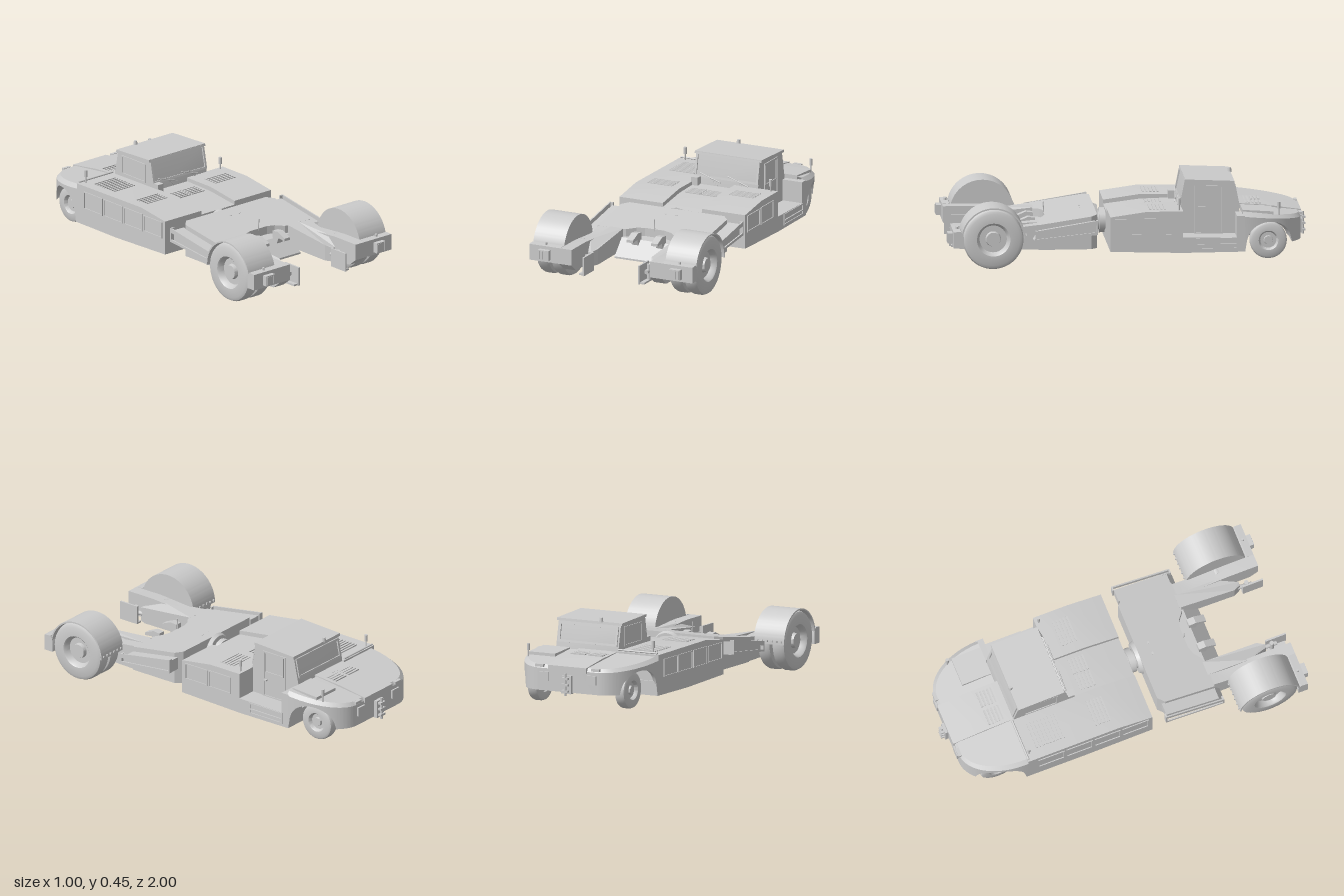
import * as THREE from 'three';
import { toCreasedNormals } from 'three/addons/utils/BufferGeometryUtils.js';

const mat = new THREE.MeshStandardMaterial({ color: 0xcccccc });
const thin = new THREE.MeshStandardMaterial({ color: 0xcccccc, side: THREE.DoubleSide });

export function createModel() {
  const model = new THREE.Group();
  const V = (x, y, z) => new THREE.Vector3(x, y, z);
  const add = (name, geo, m = mat) => {
    const mesh = new THREE.Mesh(geo, m);
    mesh.name = name;
    model.add(mesh);
    return mesh;
  };
  const toShape = (pts) => new THREE.Shape(pts.map((p) => new THREE.Vector2(...p)));
  // box from its low and high corners
  const box = (name, x0, x1, y0, y1, z0, z1) => add(name, new THREE.BoxGeometry(Math.abs(x1 - x0), y1 - y0, z1 - z0)
    .translate((x0 + x1) / 2, (y0 + y1) / 2, (z0 + z1) / 2));
  // side profile [z, y] swept across x
  const prism = (name, shape, x0, x1) => add(name, toCreasedNormals(
    new THREE.ExtrudeGeometry(Array.isArray(shape) ? toShape(shape) : shape,
      { depth: Math.abs(x1 - x0), bevelEnabled: false, curveSegments: 32 })
      .rotateY(-Math.PI / 2).translate(Math.max(x0, x1), 0, 0), 0.5));
  // plan outline [x, z] swept upwards
  const planGeo = (pts, y0, y1) => new THREE.ExtrudeGeometry(toShape(pts), { depth: y1 - y0, bevelEnabled: false })
    .rotateX(Math.PI / 2).translate(0, y1, 0);
  const rod = (name, a, b, r, r2 = r) => {
    const mesh = add(name, new THREE.CylinderGeometry(r2, r, a.distanceTo(b), 20));
    mesh.position.copy(a).lerp(b, 0.5);
    mesh.quaternion.setFromUnitVectors(V(0, 1, 0), b.clone().sub(a).normalize());
    return mesh;
  };
  // rectangular frame facing +z
  const frameGeo = (w, h, t, d) => {
    const s = toShape([[-w / 2, -h / 2], [w / 2, -h / 2], [w / 2, h / 2], [-w / 2, h / 2]]);
    const a = w / 2 - t, b = h / 2 - t;
    s.holes.push(new THREE.Path([[-a, -b], [-a, b], [a, b], [a, -b]].map((p) => new THREE.Vector2(...p))));
    return new THREE.ExtrudeGeometry(s, { depth: d, bevelEnabled: false });
  };
  const sideFrame = (name, s, x, y, z, w, h, t = 0.006) => {
    const mesh = add(name, frameGeo(w, h, t, 0.005));
    mesh.position.set(x, y, z);
    mesh.rotation.y = s * Math.PI / 2;
  };
  const both = (fn) => [1, -1].forEach(fn);

  // Rear unit: hull and engine covers
  prism('lowerHull', [[0.1, 0.07], [0.1, 0.15], [-0.64, 0.14], [-0.64, 0.06], [-0.3, 0.058]], -0.385, 0.385);
  prism('rightHood', [[0.1, 0.13], [0.1, 0.262], [-0.1, 0.29], [-0.63, 0.285], [-0.63, 0.13]], -0.385, -0.12);
  prism('leftHood', [[0.1, 0.13], [0.1, 0.262], [-0.1, 0.29], [-0.3, 0.29], [-0.3, 0.13]], 0.12, 0.385);
  prism('centreHood', [[0.1, 0.13], [0.1, 0.24], [-0.1, 0.265], [-0.3, 0.27], [-0.3, 0.13]], -0.12, 0.12);
  prism('fenderStep', [[-0.595, 0.13], [-0.595, 0.26], [-0.64, 0.26], [-0.64, 0.13]], 0.26, 0.385);
  both((s) => {
    const last = s > 0 ? 2 : 4;
    for (let i = 0; i < last; i++) sideFrame('sidePanel', s, s * 0.385, 0.205, 0 - i * 0.165, 0.155, 0.1 - (i ? 0 : 0.006));
  });
  sideFrame('stepFrame', 1, 0.385, 0.107, -0.485, 0.23, 0.065, 0.008);
  box('stepTread', 0.365, 0.392, 0.1, 0.106, -0.595, -0.375);

  // Ventilation slats
  const slats = (x, y, z0, z1, w) => {
    for (let z = z0; z <= z1; z += 0.02) box('ventSlat', x - w / 2, x + w / 2, y - 0.004, y + 0.004, z, z + 0.01);
  };
  slats(-0.25, 0.288, -0.56, -0.39, 0.15);
  for (const x of [-0.25, 0.25]) slats(x, 0.29, -0.21, -0.12, 0.15);
  both((s) => slats(s * 0.05, 0.267, -0.21, -0.12, 0.09));
  both((s) => slats(s * 0.055, 0.272, -0.75, -0.66, 0.09));

  // Rounded tail: crowned deck over a skirt with wheel arches
  const rows = [[], [], [], []];
  const N = 48;
  for (let i = 0; i <= N; i++) {
    const t = (i / N) * Math.PI / 2;
    const x = 0.18 + 0.205 * Math.cos(t), z = -0.63 - 0.33 * Math.sin(t);
    const dz = Math.abs(z + 0.775);
    const low = dz < 0.125 ? 0.107 + Math.sqrt(0.0156 - dz * dz) * 0.9 : (z > -0.7 ? 0.06 : 0.095);
    const top = 0.275 - (-0.63 - z) * 0.11;
    rows[0].push([x - 0.03, Math.max(low, 0.13), z + 0.02]);
    rows[1].push([x, low, z]);
    rows[2].push([x, top - 0.02, z]);
    rows[3].push([x * 0.94, top, z + 0.012 * Math.sin(t)]);
  }
  const pos = [], idx = [];
  rows.forEach((row) => {
    row.forEach((p) => pos.push(...p));
    row.slice().reverse().forEach((p) => pos.push(-p[0], p[1], p[2]));
  });
  const M = 2 * (N + 1);
  for (let r = 0; r < 3; r++) for (let i = 0; i < M - 1; i++) {
    const a = r * M + i, b = a + M;
    idx.push(a, a + 1, b, b, a + 1, b + 1);
  }
  for (let i = 0; i < N; i++) {
    const a = 3 * M + i, b = 3 * M + M - 1 - i;
    idx.push(a, a + 1, b, b, a + 1, b - 1);
  }
  const tail = new THREE.BufferGeometry();
  tail.setAttribute('position', new THREE.Float32BufferAttribute(pos, 3));
  tail.setIndex(idx);
  add('tailBody', toCreasedNormals(tail, 0.5), thin);
  prism('tailCover', [[-0.61, 0.25], [-0.61, 0.28], [-0.78, 0.267], [-0.968, 0.24], [-0.968, 0.21]], -0.12, 0.12);
  prism('deckHatch', [[-0.63, 0.25], [-0.63, 0.283], [-0.8, 0.272], [-0.8, 0.25]], 0.17, 0.335);
  both((s) => {
    box('tailLamp', s * 0.12, s * 0.18, 0.15, 0.2, -0.97, -0.955);
    box('tailBracket', s * 0.15, s * 0.2, 0.225, 0.24, -0.968, -0.95);
  });
  // Tow hitch
  box('hitchBlock', -0.03, 0.03, 0.09, 0.19, -0.98, -0.95);
  for (const y of [0.1, 0.135, 0.17]) box('hitchJaw', -0.02, 0.02, y, y + 0.012, -1, -0.97);
  rod('hitchPin', V(0, 0.08, -0.988), V(0, 0.205, -0.988), 0.007);

  // Cab
  const front = (y) => -0.29 - (y - 0.26) * 0.2;
  prism('cab', [[-0.29, 0.13], [-0.29, 0.26], [-0.326, 0.44], [-0.585, 0.428], [-0.62, 0.26], [-0.62, 0.13]], -0.125, 0.265);
  prism('cabRoof', [[-0.318, 0.432], [-0.32, 0.446], [-0.59, 0.434], [-0.592, 0.42]], -0.135, 0.275);
  const screen = add('windscreenFrame', frameGeo(0.39, 0.135, 0.012, 0.008));
  screen.position.set(0.07, 0.375, front(0.375));
  screen.rotation.x = -0.2;
  const rearScreen = add('rearWindowFrame', frameGeo(0.37, 0.11, 0.012, 0.008));
  rearScreen.position.set(0.07, 0.36, -0.599);
  rearScreen.rotation.set(0.2, Math.PI, 0);
  sideFrame('doorFrame', 1, 0.265, 0.275, -0.45, 0.16, 0.27, 0.009);
  sideFrame('doorWindow', 1, 0.265, 0.345, -0.45, 0.13, 0.12, 0.006);
  sideFrame('sideWindow', -1, -0.125, 0.355, -0.455, 0.2, 0.11, 0.009);
  box('doorHandle', 0.265, 0.275, 0.235, 0.243, -0.4, -0.38);
  for (const x of [-0.09, 0.08]) {
    rod('wiperBlade', V(x, 0.335, front(0.335) + 0.013), V(x + 0.13, 0.295, front(0.295) + 0.013), 0.003);
    rod('wiperArm', V(x + 0.05, 0.33, front(0.33) + 0.014), V(x + 0.11, 0.275, front(0.275) + 0.01), 0.002);
  }
  rod('beacon', V(0, 0.43, -0.585), V(0, 0.455, -0.585), 0.012, 0.009);
  box('airIntake', -0.125, -0.085, 0.26, 0.315, -0.3, -0.255);
  // Marker lamps on stalks
  for (const [x, y, z] of [[-0.34, 0.28, -0.61], [0.32, 0.245, -0.83], [0.35, 0.28, -0.28]]) {
    rod('lampStalk', V(x, y, z), V(x, y + 0.05, z), 0.004);
    rod('markerLamp', V(x, y + 0.04, z), V(x, y + 0.078, z), 0.009);
  }
  rod('hoodRail', V(-0.375, 0.293, -0.625), V(-0.13, 0.293, -0.625), 0.005);

  // Articulation joint
  rod('jointBarrel', V(0, 0.175, 0.08), V(0, 0.175, 0.2), 0.055);
  rod('jointFlange', V(0, 0.175, 0.105), V(0, 0.175, 0.135), 0.07);
  rod('jointCollar', V(0, 0.175, 0.145), V(0, 0.175, 0.165), 0.085, 0.095);

  // Front unit: sloping deck with a curved bay at its nose
  const half = [[0.29, 0.165], [0.325, 0.2], [0.325, 0.49], [0.19, 0.49], [0.15, 0.485], [0.105, 0.45], [0.06, 0.437]];
  const deck = planGeo([...half, ...half.slice().reverse().map(([x, z]) => [-x, z])], 0.075, 0.26);
  const dp = deck.attributes.position;
  for (let i = 0; i < dp.count; i++) if (dp.getY(i) > 0.2) dp.setY(i, 0.262 - (dp.getZ(i) - 0.165) * 0.15);
  deck.computeVertexNormals();
  add('frontDeck', deck);
  prism('noseApron', [[0.43, 0.075], [0.43, 0.175], [0.5, 0.17], [0.59, 0.085], [0.59, 0.075]], -0.17, 0.17);
  both((s) => {
    box('deckCap', s * 0.025, s * 0.04, 0.24, 0.252, 0.235, 0.245);
    prism('cradleHook', [[0.49, 0.15], [0.49, 0.21], [0.53, 0.215], [0.59, 0.19], [0.59, 0.175], [0.54, 0.18], [0.52, 0.13]],
      s * 0.055, s * 0.095);
  });
  rod('aerial', V(0, 0.21, 0.435), V(0, 0.28, 0.44), 0.003);

  both((s) => {
    // Sloping side trays and guard rails
    prism('sideTray', [[0.18, 0.165], [0.18, 0.235], [0.49, 0.185], [0.52, 0.14]], s * 0.32, s * 0.39);
    prism('guardRail', [[0.17, 0.225], [0.17, 0.25], [0.51, 0.195], [0.51, 0.17]], s * 0.402, s * 0.41);
    prism('guardRailLower', [[0.17, 0.17], [0.17, 0.185], [0.51, 0.15], [0.51, 0.138]], s * 0.402, s * 0.41);
    box('railEnd', s * 0.385, s * 0.41, 0.17, 0.25, 0.17, 0.178);
    box('railEnd', s * 0.385, s * 0.41, 0.138, 0.195, 0.505, 0.513);

    // Fork arms and lamp boxes
    prism('forkArm', [[0.48, 0.075], [0.48, 0.214], [0.6, 0.2], [0.8, 0.215], [0.97, 0.215], [0.97, 0.125], [0.92, 0.085]],
      s * 0.24, s * 0.315);
    const lobe = planGeo([[0.17, 0.48], [0.165, 0.8], [0.185, 0.84], [0.205, 0.84], [0.25, 0.72], [0.25, 0.48]]
      .map(([x, z]) => [s * x, z]), 0.095, 0.22);
    const lp = lobe.attributes.position;
    for (let i = 0; i < lp.count; i++) if (lp.getY(i) > 0.15) lp.setY(i, 0.215 - Math.max(0, lp.getZ(i) - 0.7) * 0.3);
    lobe.computeVertexNormals();
    add('innerArm', lobe);
    prism('lampBox', [[0.915, 0.125], [0.915, 0.19], [0.93, 0.218], [0.97, 0.215], [0.97, 0.125]], s * 0.31, s * 0.5);
    box('headlampHousing', s * 0.37, s * 0.435, 0.14, 0.197, 0.96, 0.997);
    for (let i = 0; i < 4; i++) box('lampGrille', s * (0.377 + i * 0.015), s * (0.383 + i * 0.015), 0.145, 0.192, 0.99, 1);
    rod('boxCap', V(s * 0.41, 0.21, 0.945), V(s * 0.41, 0.23, 0.945), 0.007);
    // Hanging guide plates at the arm tips
    const plate = box('guidePlate', s * 0.165, s * 0.175, 0.075, 0.18, 0.85, 0.97);
    plate.name = 'guidePlate';
    box('guideFlange', s * 0.165, s * 0.2, 0.075, 0.085, 0.85, 0.96);
    rod('guideStrut', V(s * 0.19, 0.14, 0.8), V(s * 0.185, 0.13, 0.91), 0.012);
    rod('guideCylinder', V(s * 0.19, 0.085, 0.88), V(s * 0.19, 0.17, 0.88), 0.012);

    // Fender band with its inner wall
    const band = new THREE.Shape();
    band.absarc(0.75, 0.168, 0.178, 0, Math.PI, false);
    band.absarc(0.75, 0.168, 0.17, Math.PI, 0, true);
    prism('fender', band, s * 0.31, s * 0.5);
    const wall = new THREE.Shape();
    wall.absarc(0.75, 0.168, 0.176, 0, Math.PI, false);
    prism('fenderInnerWall', wall, s * 0.31, s * 0.318);
    for (let i = 0; i < 6; i++) box('fenderBolt', s * (0.33 + i * 0.03), s * (0.338 + i * 0.03), 0.18, 0.19, 0.565, 0.577);
  });

  // Wheels: tyre and dished rim turned about the axle
  const wheel = (name, s, x, y, z, r, w, rim, dish) => {
    const h = w / 2;
    const pts = [[0.001, -h * 0.8], [rim, -h * 0.8], [rim * 1.08, -h], [r * 0.86, -h], [r * 0.96, -h * 0.82], [r, -h * 0.45],
      [r, h * 0.45], [r * 0.96, h * 0.82], [r * 0.86, h], [rim * 1.08, h], [rim, h * 0.85], [rim * 0.88, h - dish],
      [rim * 0.5, h - dish], [rim * 0.45, h - dish * 0.4], [0.001, h - dish * 0.4]];
    const geo = toCreasedNormals(new THREE.LatheGeometry(pts.map((p) => new THREE.Vector2(...p)), 48), 0.6);
    const mesh = add(name, geo.rotateZ(-Math.PI / 2));
    mesh.position.set(s * x, y, z);
    if (s < 0) mesh.rotation.y = Math.PI;
  };
  both((s) => {
    wheel('frontInnerWheel', s, 0.363, 0.168, 0.75, 0.166, 0.085, 0.085, 0.03);
    wheel('frontOuterWheel', s, 0.453, 0.168, 0.75, 0.166, 0.085, 0.085, 0.035);
    wheel('rearWheel', s, 0.275, 0.105, -0.775, 0.102, 0.065, 0.05, 0.02);
    rod('frontHub', V(s * 0.28, 0.168, 0.75), V(s * 0.46, 0.168, 0.75), 0.045);
  });
  rod('rearAxle', V(-0.26, 0.105, -0.775), V(0.26, 0.105, -0.775), 0.022);
  return model;
}
